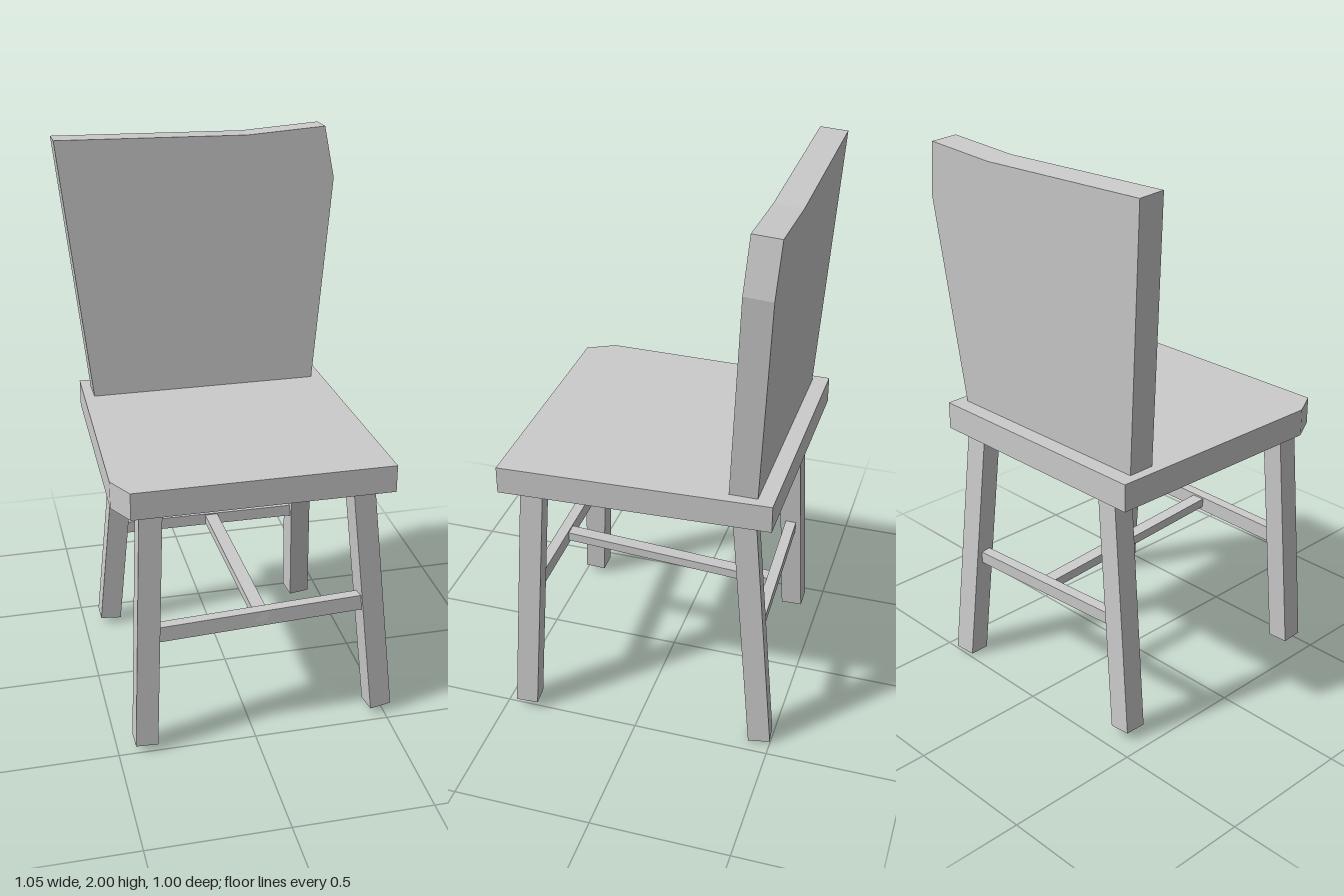
import * as THREE from 'three';

const material = new THREE.MeshStandardMaterial({ color: 0xcccccc, flatShading: true });

function add(group, name, geometry) {
  const mesh = new THREE.Mesh(geometry, material);
  mesh.name = name;
  group.add(mesh);
  return mesh;
}

// Flat board cut from an outline of [x, y] points
function board(points, depth) {
  const shape = new THREE.Shape(points.map(([x, y]) => new THREE.Vector2(x, y)));
  return new THREE.ExtrudeGeometry(shape, { depth, bevelEnabled: false });
}

// Square-cut beam running between two points, twisted about its own length
function beam(group, name, from, to, width, depth, twist = 0) {
  const a = new THREE.Vector3(...from);
  const b = new THREE.Vector3(...to);
  const dir = b.clone().sub(a);
  const mesh = add(group, name, new THREE.BoxGeometry(width, dir.length(), depth));
  mesh.position.copy(a).add(b).multiplyScalar(0.5);
  mesh.quaternion.setFromUnitVectors(new THREE.Vector3(0, 1, 0), dir.normalize());
  mesh.rotateY(twist);
}

export function createModel() {
  const chair = new THREE.Group();
  chair.name = 'chair';

  // Seat: uneven slab with one clipped front corner (outline is x, -z)
  const seat = board([[-0.43, -0.49], [0.49, -0.49], [0.45, 0.475], [-0.465, 0.475], [-0.483, -0.39]], 0.1);
  seat.rotateX(-Math.PI / 2);
  seat.translate(0, 0.94, 0);
  add(chair, 'seat', seat);

  // Backrest: flared crooked panel, leaning backwards
  const back = board([[-0.426, 1.0], [0.411, 1.0], [0.495, 1.81], [0.46, 2.0], [0.17, 1.983], [-0.53, 2.0]], 0.1);
  const p = back.attributes.position;
  for (let i = 0; i < p.count; i++) {
    const y = p.getY(i), z = p.getZ(i);
    p.setZ(i, z - 0.416 - (y - 1.04) * 0.062);
    p.setY(i, y - (0.1 - z) * 0.06);
  }
  back.computeVertexNormals();
  add(chair, 'backrest', back);

  // Splayed legs: top, foot, twist
  const legs = [
    ['frontLeftLeg', [0.388, 0.96, 0.392], [0.481, 0.03, 0.423], 0.11],
    ['frontRightLeg', [-0.357, 0.96, 0.415], [-0.398, 0.028, 0.46], 0],
    ['backLeftLeg', [0.381, 0.96, -0.368], [0.413, 0.008, -0.456], 0.12],
    ['backRightLeg', [-0.306, 0.96, -0.37], [-0.396, 0.03, -0.396], 0],
  ];
  for (const [name, top, foot, twist] of legs) beam(chair, name, foot, top, 0.08, 0.08, twist);

  // Stretchers: front, back and the one joining them
  beam(chair, 'frontStretcher', [-0.37, 0.459, 0.44], [0.42, 0.479, 0.42], 0.058, 0.04);
  beam(chair, 'backStretcher', [-0.35, 0.436, -0.383], [0.39, 0.417, -0.41], 0.046, 0.04);
  beam(chair, 'middleStretcher', [0.03, 0.476, 0.45], [0.03, 0.427, -0.405], 0.05, 0.034);

  return chair;
}
